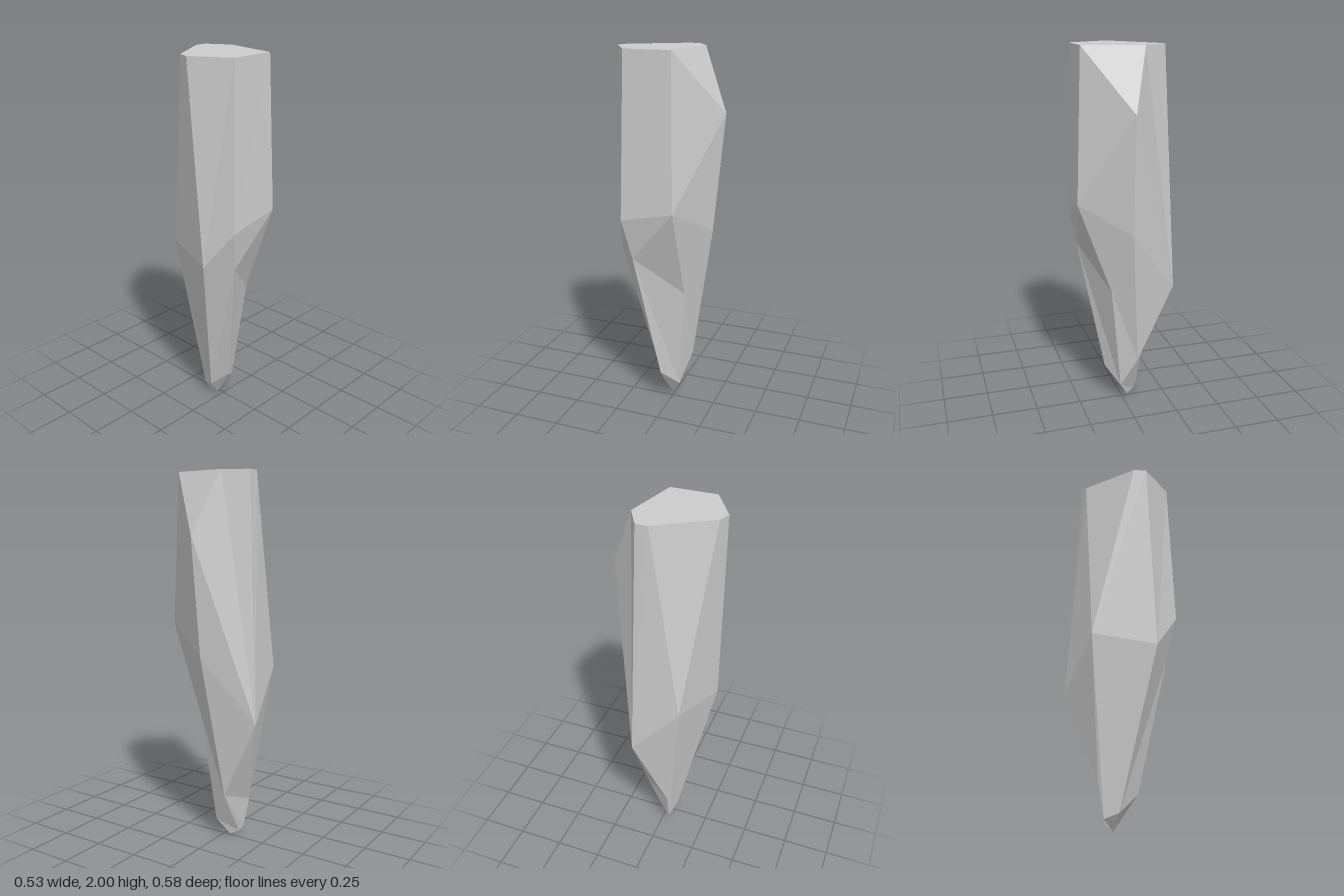
import * as THREE from 'three';

// Corner points of the shard. Columns A-F run round the six sides, from the
// front left round by the front, right, back and left; numbers count downward.
const corners = {
  // cut top
  t1: [-0.205, 2, -0.08], t2: [-0.205, 2, -0.015], t3: [-0.03, 2, 0.262],
  t4: [0.035, 2, 0.286], t5: [0.235, 2, 0.17], t6: [0.235, 2, -0.08], t7: [-0.08, 2, -0.15],
  // widest part
  A1: [-0.225, 0.97, 0.147], B1: [0.1, 0.93, 0.255],
  C1: [0.258, 1.14, 0.19], C2: [0.22, 0.92, 0.145],
  D1: [0.265, 1.2, -0.095], D2: [0.085, 0.7, -0.1],
  E0: [0.01, 1.68, -0.29], E1: [0, 1.05, -0.228], F1: [-0.265, 0.7, -0.108],
  // taper and tip
  A2: [-0.135, 0.22, 0.05], A3: [-0.1, 0.05, 0.045], B3: [-0.03, 0.08, 0.07],
  C3: [0.09, 0.19, 0.04], D3: [0.02, 0.1, -0.05], E3: [-0.065, 0.27, -0.1],
  F3: [-0.08, 0.02, 0.03], T: [-0.035, 0, 0.01],
};

// Facets, counter-clockwise from outside; each is fanned from its first corner
const facets = [
  't4 t5 t6 t7 t1 t2 t3',               // cut top
  'A1 A2 A3 B3 B1 t4 t3', 'A1 t3 t2',   // front
  'B1 C1 t5 t4', 'B3 T C3 C2 C1 B1',    // front right
  'C1 C2 D1 t6 t5', 'C2 C3 D3 D2 D1',   // right
  'D1 E1 E0', 'D1 E0 t6', 't6 E0 t7', 'D2 D3 E3 E1 D1', // back right
  'F1 t1 t7 E0 E1 E3', 'E3 F3 A3 A2 F1', // back left
  'F1 A2 A1', 'F1 A1 t2 t1',            // left
  'A3 T B3', 'A3 F3 T', 'C3 T D3', 'D3 T F3', 'D3 F3 E3', // tip
];

function facetGeometry() {
  const positions = [];
  for (const facet of facets) {
    const loop = facet.split(' ').map((name) => corners[name]);
    for (let i = 1; i < loop.length - 1; i++) {
      positions.push(...loop[0], ...loop[i], ...loop[i + 1]);
    }
  }
  const geometry = new THREE.BufferGeometry();
  geometry.setAttribute('position', new THREE.Float32BufferAttribute(positions, 3));
  geometry.computeVertexNormals();
  return geometry;
}

export function createModel() {
  const group = new THREE.Group();
  group.name = 'crystal';
  const material = new THREE.MeshStandardMaterial({ color: 0xcccccc, flatShading: true });
  const shard = new THREE.Mesh(facetGeometry(), material);
  shard.name = 'shard';
  group.add(shard);
  return group;
}
